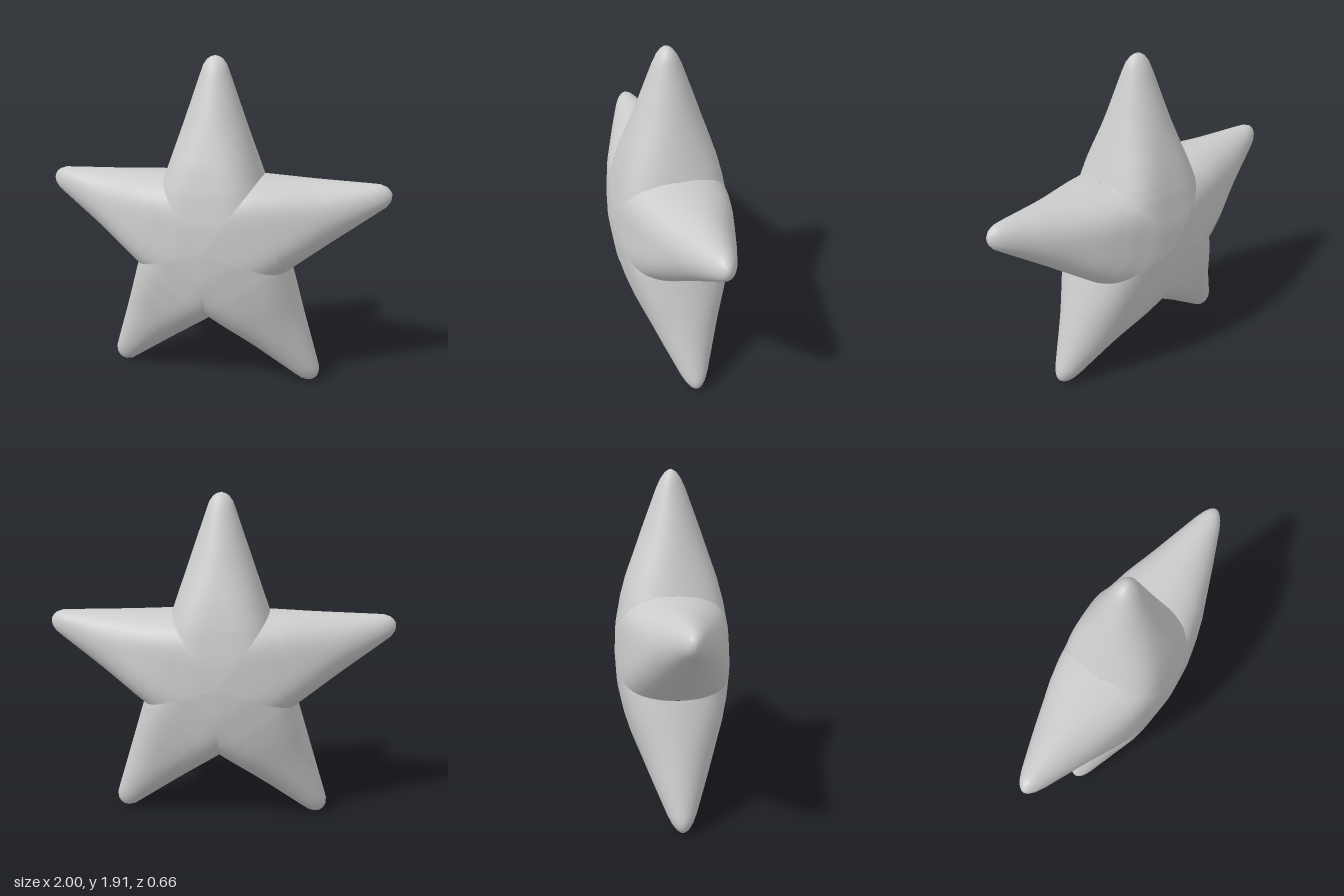
import * as THREE from 'three';
import { mergeGeometries, mergeVertices } from 'three/addons/utils/BufferGeometryUtils.js';

const ARMS = 5, VALLEY = 0.387, COLS = 20;
const CENTRE_Y = 0.865;

// [distance along arm, half width] and [distance along arm, half depth]
const WIDTH = [[0, 0.417], [VALLEY, 0.281], [0.95, 0.085], [1.0, 0.067], [1.03, 0.045], [1.043, 0.025], [1.05, 0]];
const DEPTH = [[0, 0.33], [0.15, 0.32], [0.32, 0.29], [0.45, 0.257], [0.575, 0.215], [0.735, 0.16],
  [0.95, 0.08], [1.0, 0.056], [1.03, 0.034], [1.043, 0.018], [1.05, 0]];

function sample(table, t) {
  const i = Math.max(1, table.findIndex(([a]) => a >= t));
  const [a, va] = table[i - 1], [b, vb] = table[i];
  return THREE.MathUtils.mapLinear(t, a, b, va, vb);
}

// Rows crowd towards the valley between arms and towards the tip
function armRows() {
  const rows = [];
  for (let i = 0; i <= 14; i++) rows.push(VALLEY * Math.sin((i / 14) * Math.PI / 2));
  for (let i = 1; i <= 10; i++) rows.push(VALLEY + (0.95 - VALLEY) * i / 10);
  return [...rows, 0.975, 1.0, 1.015, 1.03, 1.043, 1.05];
}

// One face (side = 1 front, -1 back) of an arm pointing up from the centre
function armFace(side) {
  const rows = armRows(), pos = [], index = [];
  rows.forEach((t) => {
    const w = sample(WIDTH, t), h = sample(DEPTH, t);
    const reach = Math.min(w, t * Math.tan(Math.PI / ARMS));
    // Boxier section by the body, rounder towards the tip
    const p = THREE.MathUtils.lerp(4, 2.1, THREE.MathUtils.smoothstep(t, 0.3, 0.75));
    for (let c = 0; c <= COLS; c++) {
      const u = reach * Math.sin((c / COLS - 0.5) * Math.PI);
      const d = w > 0 ? Math.min(1, Math.abs(u) / w) : 1;
      pos.push(u, t, side * h * Math.sqrt(Math.max(0, 1 - d ** p)));
    }
  });
  for (let r = 0; r < rows.length - 1; r++) {
    for (let c = 0; c < COLS; c++) {
      const a = r * (COLS + 1) + c, b = a + 1, e = a + COLS + 1, f = e + 1;
      if (side > 0) index.push(a, b, f, a, f, e);
      else index.push(a, f, b, a, e, f);
    }
  }
  const g = new THREE.BufferGeometry();
  g.setAttribute('position', new THREE.Float32BufferAttribute(pos, 3));
  g.setIndex(index);
  return g;
}

export function createModel() {
  const group = new THREE.Group();
  group.name = 'puffyStar';

  // Five arms, front and back, welded into one smooth skin
  const faces = [];
  for (let i = 0; i < ARMS; i++) {
    for (const side of [1, -1]) faces.push(armFace(side).rotateZ(i * 2 * Math.PI / ARMS));
  }
  const skin = mergeVertices(mergeGeometries(faces), 1e-4);
  skin.computeVertexNormals();

  const star = new THREE.Mesh(skin, new THREE.MeshStandardMaterial({ color: 0xcccccc }));
  star.name = 'starBody';
  star.position.y = CENTRE_Y;
  group.add(star);
  return group;
}
